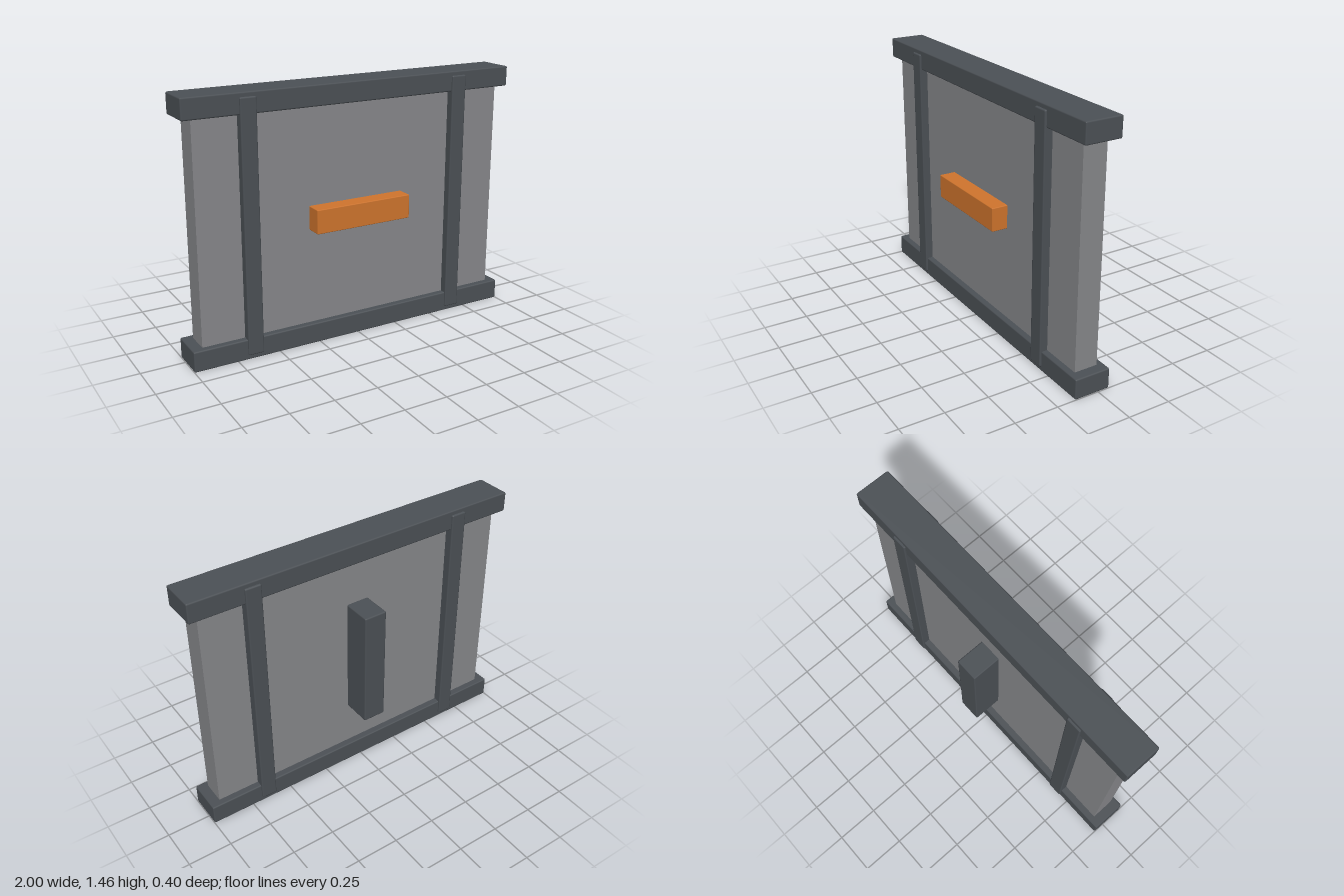
import * as THREE from 'three';
import { RoundedBoxGeometry } from 'three/addons/geometries/RoundedBoxGeometry.js';

export function createModel() {
  const model = new THREE.Group();
  model.name = 'panelAssembly';

  const material = (name, color) => {
    const m = new THREE.MeshStandardMaterial({ color });
    m.name = name;
    return m;
  };
  const panelGrey = material('panel grey', 0x87888b);
  const darkSteel = material('dark steel', 0x4c5156);
  const orange = material('orange', 0xd0752d);

  // Box given by its limits on each axis, with an optional small edge bevel
  const addBox = (name, mat, [x0, x1], [y0, y1], [z0, z1], bevel = 0.008) => {
    const size = [x1 - x0, y1 - y0, z1 - z0];
    const geometry = bevel
      ? new RoundedBoxGeometry(...size, 1, bevel)
      : new THREE.BoxGeometry(...size);
    const mesh = new THREE.Mesh(geometry, mat);
    mesh.name = name;
    mesh.position.set((x0 + x1) / 2, (y0 + y1) / 2, (z0 + z1) / 2);
    model.add(mesh);
  };

  // Flat slab held between the rails
  addBox('panel', panelGrey, [-0.94, 0.94], [0.06, 1.40], [-0.03, 0.107], 0);

  // Rails along the bottom and top edges
  addBox('bottomRail', darkSteel, [-1, 1], [0, 0.118], [-0.069, 0.142]);
  addBox('topRail', darkSteel, [-1, 1], [1.345, 1.46], [-0.069, 0.142]);

  // Upright straps wrapping both faces
  for (const side of [-1, 1]) {
    const x = side * 0.648;
    addBox(side > 0 ? 'leftStrap' : 'rightStrap', darkSteel,
      [x - 0.046, x + 0.046], [0.027, 1.435], [-0.08, 0.153]);
  }

  // Horizontal front bar and vertical back block
  addBox('frontBar', orange, [-0.293, 0.293], [0.663, 0.8], [0.09, 0.2], 0.005);
  addBox('backBlock', darkSteel, [-0.068, 0.068], [0.38, 1.083], [-0.2, -0.02]);

  return model;
}
